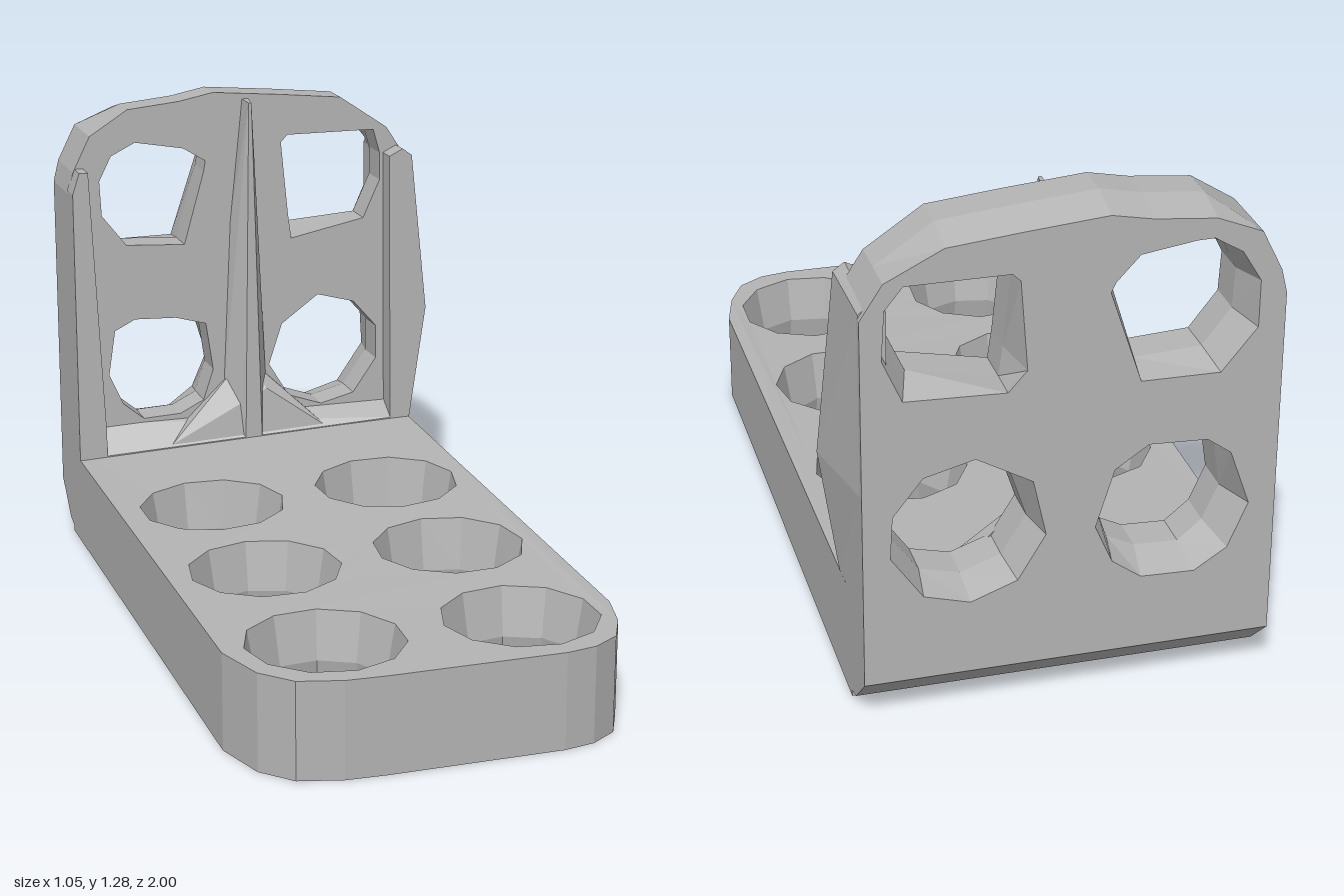
import * as THREE from 'three';
import { ConvexGeometry } from 'three/addons/geometries/ConvexGeometry.js';

const v2 = (pts) => pts.map(([x, y]) => new THREE.Vector2(x, y));

// Plate with holes, extruded in two steps so the hole walls can flare
function plate(outline, holes, depth, steps) {
  const shape = new THREE.Shape(v2(outline));
  holes.forEach((h) => shape.holes.push(new THREE.Path(v2(h))));
  return new THREE.ExtrudeGeometry(shape, { depth, steps, bevelEnabled: false });
}

// Move every vertex by a rule, then recompute flat normals
function bend(geo, rule) {
  const p = geo.attributes.position;
  const v = new THREE.Vector3();
  for (let i = 0; i < p.count; i++) {
    v.fromBufferAttribute(p, i);
    rule(v);
    p.setXYZ(i, v.x, v.y, v.z);
  }
  geo.computeVertexNormals();
  return geo;
}

function nearest(centres, v, reach) {
  return centres.find(([x, y]) => Math.hypot(v.x - x, v.y - y) < reach);
}

export function createModel() {
  const group = new THREE.Group();
  const grey = new THREE.MeshStandardMaterial({ color: 0xb4b4b4, flatShading: true });
  grey.name = 'plain grey';
  const add = (name, geo) => {
    const mesh = new THREE.Mesh(geo, grey);
    mesh.name = name;
    group.add(mesh);
    return mesh;
  };
  const hull = (name, pts) =>
    add(name, new ConvexGeometry(pts.map((p) => new THREE.Vector3(...p))));

  // Base plate: drawn in x and -z, with six round holes pinched halfway down
  const centres = [];
  for (const x of [-0.27, 0.23]) for (const z of [-0.25, 0.25, 0.75]) centres.push([x, -z]);
  const ring = ([cx, cy], k) => Array.from({ length: 11 }, (_, i) => {
    const a = (i / 11) * Math.PI * 2 + k * 0.4;
    return [cx + 0.198 * Math.cos(a), cy + 0.198 * Math.sin(a)];
  });
  const baseOutline = [
    [-0.525, 0.86], [-0.525, -0.75], [-0.48, -0.89], [-0.41, -0.965], [-0.3, -0.995],
    [-0.2, -1], [0.25, -1], [0.33, -0.985], [0.4, -0.94], [0.445, -0.85],
    [0.475, -0.73], [0.475, 0.86],
  ];
  const base = plate(baseOutline, centres.map(ring), 0.25, 2);
  bend(base, (v) => {
    const c = nearest(centres, v, 0.21);
    if (c && Math.abs(v.z - 0.125) < 0.01) {
      v.x = c[0] + (v.x - c[0]) * 0.88;
      v.y = c[1] + (v.y - c[1]) * 0.88;
    }
    // The top rises slightly towards the back on one side
    if (v.z > 0.2) v.z += 0.04 * THREE.MathUtils.clamp((v.y + 0.7) / 1.45, 0, 1) * (v.x + 0.525);
  });
  base.rotateX(-Math.PI / 2);
  base.computeVertexNormals();
  add('basePlate', base);

  // Upright plate with four irregular holes
  const upCentres = [[-0.27, 0.49], [0.225, 0.5], [-0.28, 1.0], [0.25, 1.0]];
  const upHoles = [
    [[-0.4, 0.61], [-0.34, 0.64], [-0.22, 0.635], [-0.13, 0.61], [-0.11, 0.47],
      [-0.14, 0.38], [-0.21, 0.345], [-0.32, 0.34], [-0.38, 0.39], [-0.42, 0.48]],
    [[0.21, 0.67], [0.32, 0.64], [0.39, 0.56], [0.39, 0.46], [0.32, 0.36],
      [0.22, 0.335], [0.12, 0.37], [0.06, 0.47], [0.1, 0.59]],
    [[-0.33, 1.155], [-0.19, 1.13], [-0.125, 1.09], [-0.13, 1.06], [-0.19, 0.85],
      [-0.36, 0.86], [-0.43, 0.95], [-0.435, 1.05], [-0.4, 1.12]],
    [[0.1, 1.13], [0.12, 1.15], [0.38, 1.15], [0.4, 1.08], [0.4, 1.0],
      [0.35, 0.89], [0.13, 0.845], [0.12, 0.92]],
  ];
  const upOutline = [
    [-0.525, 0], [0.475, 0], [0.475, 1.07], [0.42, 1.155], [0.28, 1.25], [0.1, 1.268],
    [-0.1, 1.285], [-0.2, 1.265], [-0.35, 1.25], [-0.46, 1.18], [-0.51, 1.08], [-0.525, 1.02],
  ];
  const upright = bend(plate(upOutline, upHoles, 0.19, 2), (v) => {
    const back = v.z < 0.01;
    const c = nearest(upCentres, v, 0.215);
    if (c && back) {
      // Holes open out to a round rim on the rear face
      const r = Math.hypot(v.x - c[0], v.y - c[1]);
      v.x = c[0] + ((v.x - c[0]) * 0.19) / r;
      v.y = c[1] + ((v.y - c[1]) * 0.19) / r;
    }
    // Chamfered lower rear edge and gently sloping top
    if (v.y < 0.01) v.y = back ? 0.12 : v.z < 0.1 ? 0.03 : 0;
    if (back && v.y > 1.24) v.y -= 0.025;
    v.z -= 1;
  });
  add('uprightPlate', upright);

  // Raised side rims; the left one swells outward along its front edge
  hull('rightRim', [-0.82, -0.75].flatMap((z) => [
    [-0.525, 0.1, z], [-0.525, 1.03, z], [-0.505, 1.09, z], [-0.48, 1.09, z], [-0.445, 0.33, z], [-0.445, 0.1, z],
  ]));
  const rimShape = [
    [0.42, 0.1], [0.475, 0.1], [0.475, 0.28], [0.525, 0.62], [0.478, 1.08], [0.45, 1.1], [0.41, 1.08], [0.415, 0.4],
  ];
  add('leftRim', bend(plate(rimShape, [], 0.235, 1), (v) => {
    if (v.z < 0.01) {
      v.x = Math.min(v.x, 0.474);
      if (v.y < 0.11) v.y = 0.14;
    }
    v.z -= 0.985;
  }));

  // Thin central rib that widens towards its foot
  hull('centreRib', [
    [-0.09, 0.25, -0.82], [0.06, 0.25, -0.82], [-0.03, 0.25, -0.75], [0.02, 0.25, -0.75],
    [-0.06, 0.85, -0.82], [0.035, 0.5, -0.82], [0.0, 0.5, -0.75],
    [-0.015, 1.262, -0.82], [0.005, 1.262, -0.82], [-0.012, 1.26, -0.75], [-0.004, 1.26, -0.75],
  ]);

  // Sloping fillet and central gusset where the plates meet
  hull('cornerFillet', [
    [-0.48, 0.2, -0.75], [0.43, 0.2, -0.75], [-0.48, 0.255, -0.75], [0.43, 0.29, -0.75],
    [-0.48, 0.2, -0.82], [0.43, 0.2, -0.82], [-0.45, 0.335, -0.82], [0.42, 0.335, -0.82],
  ]);
  hull('cornerGusset', [
    [-0.25, 0.27, -0.82], [0.22, 0.28, -0.82], [-0.25, 0.27, -0.755], [0.22, 0.28, -0.755],
    [-0.08, 0.36, -0.77], [0.04, 0.41, -0.77], [-0.01, 0.5, -0.82],
  ]);

  return group;
}
